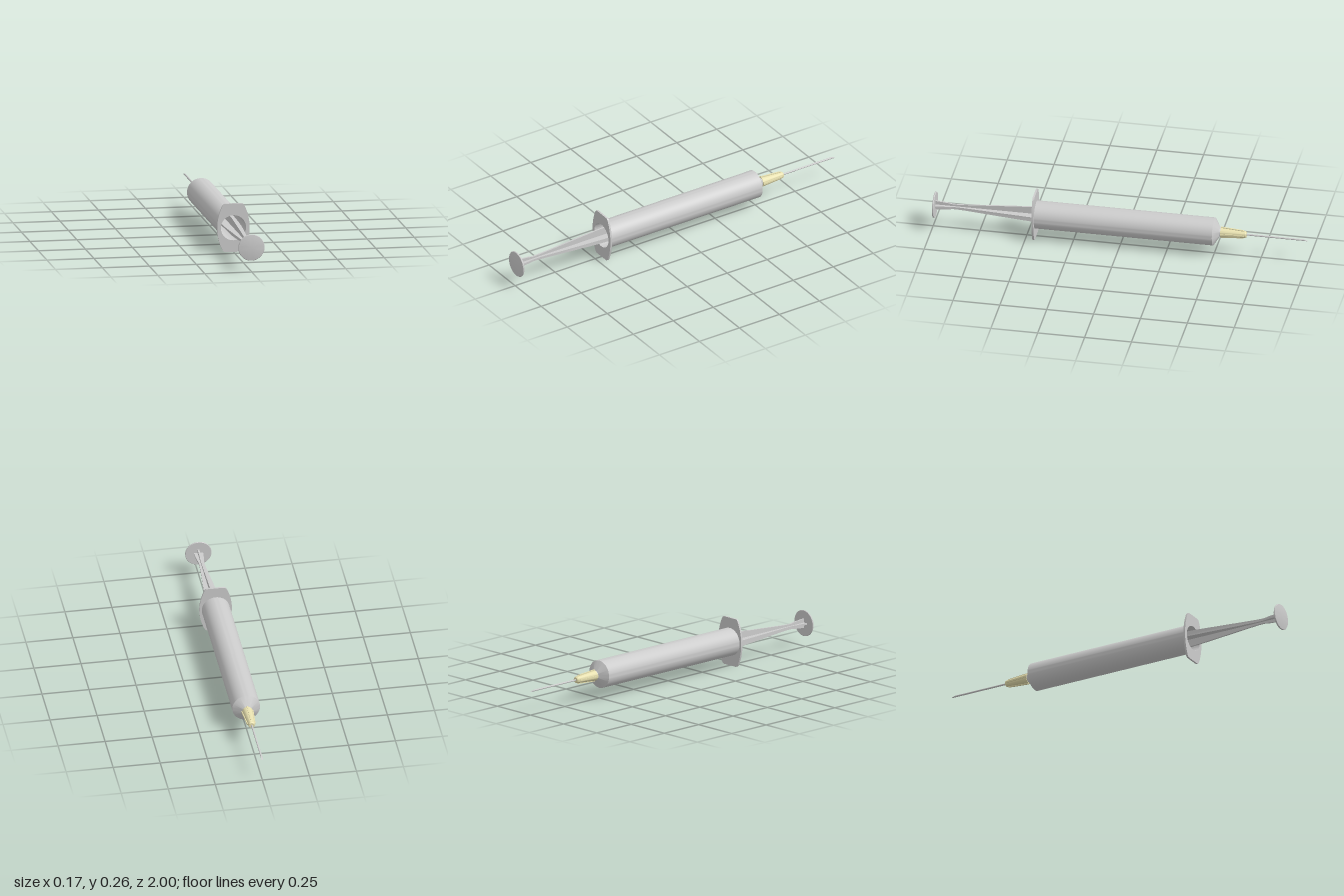
import * as THREE from 'three';
import { toCreasedNormals } from 'three/addons/utils/BufferGeometryUtils.js';

const AXIS_Y = 0.129;

export function createModel() {
  const group = new THREE.Group();
  const grey = new THREE.MeshStandardMaterial({ color: 0xcccccc });
  const cream = new THREE.MeshStandardMaterial({ color: 0xe6dfae });

  const add = (name, geometry, material = grey) => {
    const mesh = new THREE.Mesh(geometry, material);
    mesh.name = name;
    mesh.position.y = AXIS_Y;
    group.add(mesh);
    return mesh;
  };

  // Profile of [radius, z] points turned around the z axis
  const turn = (points, sides = 64) => {
    const profile = points.map(([r, z]) => new THREE.Vector2(r, z));
    const g = new THREE.LatheGeometry(profile, sides).rotateX(Math.PI / 2);
    return toCreasedNormals(g, 0.45);
  };

  // Thin plate in the plane of the axis, from [halfWidth, z] points
  const fin = (shape, thickness) =>
    new THREE.ExtrudeGeometry(shape, { depth: thickness, bevelEnabled: false, curveSegments: 16 })
      .translate(0, 0, -thickness / 2)
      .rotateX(Math.PI / 2);

  // Hollow barrel with shoulder and nozzle
  add('barrel', turn([
    [0, -0.56], [0.018, -0.56], [0.025, -0.53], [0.074, -0.5], [0.074, 0.452],
    [0.067, 0.452], [0.067, -0.49], [0, -0.51],
  ]));

  // Finger flange: bowed sides, rounded corners, round opening
  const plate = new THREE.Shape();
  plate.moveTo(-0.042, -0.129);
  plate.lineTo(0.042, -0.129);
  plate.quadraticCurveTo(0.053, -0.129, 0.059, -0.117);
  plate.bezierCurveTo(0.077, -0.08, 0.086, -0.04, 0.086, 0);
  plate.bezierCurveTo(0.086, 0.04, 0.077, 0.08, 0.059, 0.117);
  plate.quadraticCurveTo(0.053, 0.129, 0.042, 0.129);
  plate.lineTo(-0.042, 0.129);
  plate.quadraticCurveTo(-0.053, 0.129, -0.059, 0.117);
  plate.bezierCurveTo(-0.077, 0.08, -0.086, 0.04, -0.086, 0);
  plate.bezierCurveTo(-0.086, -0.04, -0.077, -0.08, -0.059, -0.117);
  plate.quadraticCurveTo(-0.053, -0.129, -0.042, -0.129);
  const opening = new THREE.Path();
  opening.absarc(0, 0, 0.067, 0, Math.PI * 2, true);
  plate.holes.push(opening);
  const flange = new THREE.ExtrudeGeometry(plate, { depth: 0.01, bevelEnabled: false, curveSegments: 24 });
  add('fingerFlange', toCreasedNormals(flange.translate(0, 0, 0.45), 0.5));

  // Plunger rod: two crossed plates with a narrow waist
  const side = [[0.052, 0], [0.051, 0.25], [0.045, 0.45], [0.033, 0.62], [0.015, 0.86], [0.019, 0.92], [0.025, 0.987]];
  const rod = new THREE.Shape();
  rod.moveTo(-side[0][0], side[0][1]);
  rod.lineTo(...side[0]);
  rod.splineThru(side.slice(1).map(([x, z]) => new THREE.Vector2(x, z)));
  rod.lineTo(-0.025, 0.987);
  rod.splineThru(side.slice(0, -1).reverse().map(([x, z]) => new THREE.Vector2(-x, z)));
  for (let i = 0; i < 2; i++) {
    add('plungerRib', toCreasedNormals(fin(rod, 0.009), 0.5)).rotation.z = i * Math.PI / 2;
  }

  // Stopper inside the barrel
  add('stopper', turn([
    [0, -0.11], [0.064, -0.09], [0.066, -0.08], [0.066, -0.06], [0.06, -0.05],
    [0.06, -0.03], [0.066, -0.02], [0.066, 0], [0, 0],
  ]));

  // Thumb rest with a shallow dome
  add('thumbRest', turn([
    [0, 0.986], [0.068, 0.986], [0.07, 0.988], [0.07, 0.991], [0.068, 0.994],
    [0.05, 0.997], [0.025, 0.9993], [0, 1],
  ]));

  // Needle hub: tapered core with four fins
  add('needleHub', turn([
    [0, -0.672], [0.014, -0.672], [0.018, -0.666], [0.019, -0.65],
    [0.028, -0.535], [0, -0.535],
  ], 40), cream);
  const hubFin = new THREE.Shape([
    [-0.032, -0.535], [-0.023, -0.655], [-0.018, -0.662],
    [0.018, -0.662], [0.023, -0.655], [0.032, -0.535],
  ].map(([x, z]) => new THREE.Vector2(x, z)));
  for (let i = 0; i < 2; i++) {
    add('hubFin', fin(hubFin, 0.008), cream).rotation.z = i * Math.PI / 2;
  }

  // Needle: its far end is slanted to a point on the lower side
  const needle = new THREE.CylinderGeometry(0.0048, 0.0048, 0.34, 20)
    .rotateX(Math.PI / 2).translate(0, 0, -0.83);
  const p = needle.attributes.position;
  for (let i = 0; i < p.count; i++) {
    if (p.getZ(i) < -0.99) p.setZ(i, -1 + 0.028 * (p.getY(i) + 0.0048) / 0.0096);
  }
  add('needle', toCreasedNormals(needle, 0.6));

  return group;
}
